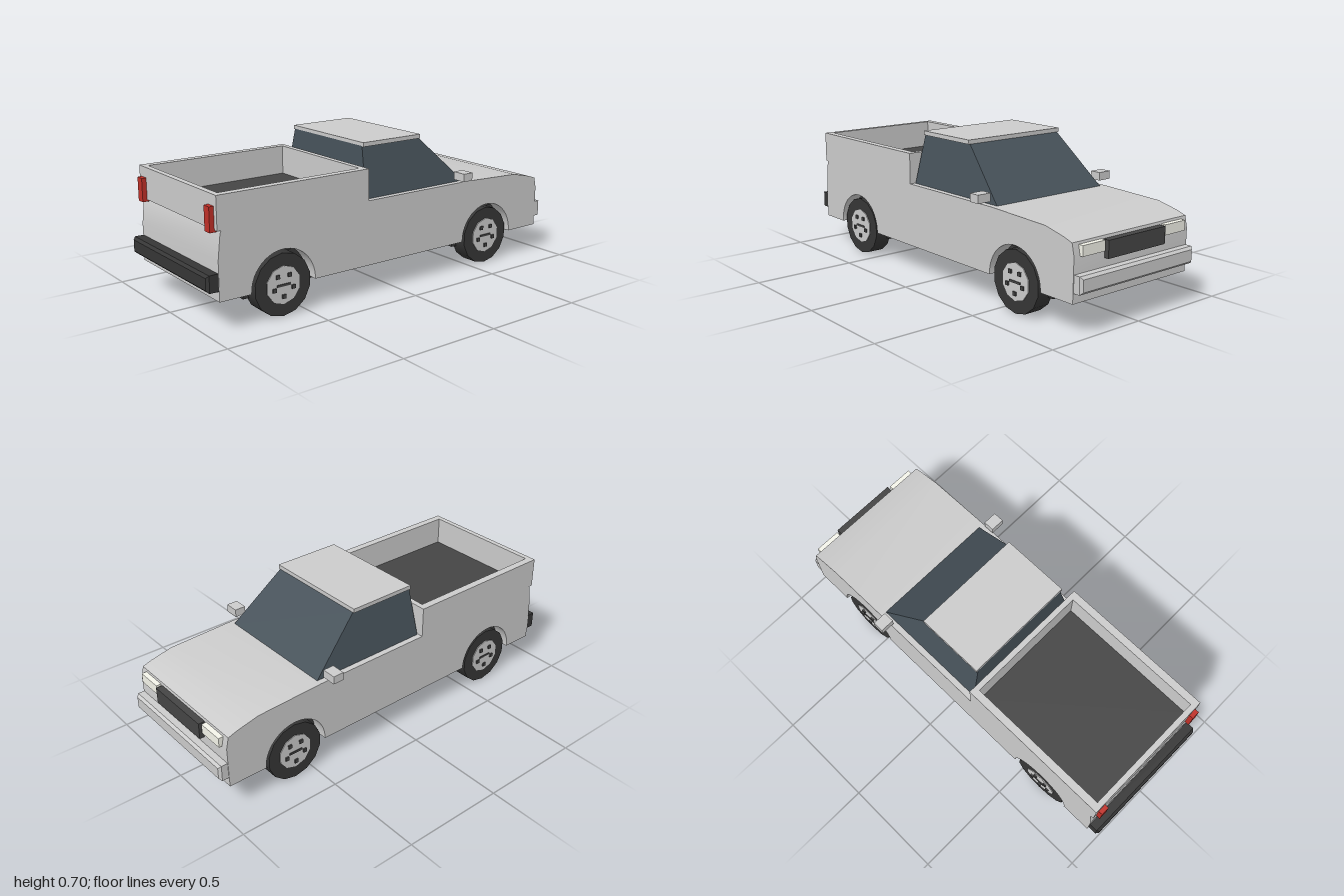
import * as THREE from 'three';
import { toCreasedNormals } from 'three/addons/utils/BufferGeometryUtils.js';

const mat = (color, flatShading = true) => new THREE.MeshStandardMaterial({ color, flatShading });
const paint = mat(0xcccccc);
const bodyPaint = mat(0xcccccc, false);
const glass = mat(0x465159);
const dark = mat(0x454545);
const rubber = mat(0x363636);
const tyreRubber = mat(0x363636, false);
const red = mat(0xc03028);
const lamp = mat(0xf4f4ea);

const AXLES = [-0.625, 0.6];
const WHEEL_R = 0.145;
const ARCH_R = 0.165;

export function createModel() {
  const truck = new THREE.Group();
  truck.name = 'pickupTruck';

  const add = (name, geometry, material, parent = truck) => {
    const mesh = new THREE.Mesh(geometry, material);
    mesh.name = name;
    parent.add(mesh);
    return mesh;
  };

  // Box given by its limits on each axis
  const box = (name, [x0, x1], [y0, y1], [z0, z1], material, parent) => {
    const g = new THREE.BoxGeometry(x1 - x0, y1 - y0, z1 - z0);
    g.translate((x0 + x1) / 2, (y0 + y1) / 2, (z0 + z1) / 2);
    return add(name, g, material, parent);
  };

  // Lower body: side profile with wheel arches, extruded across the width
  const side = new THREE.Shape();
  side.moveTo(-0.945, 0.14);
  for (const x of AXLES) {
    side.lineTo(x - ARCH_R, 0.14);
    side.absarc(x, 0.145, ARCH_R, Math.PI, 0, true);
    side.lineTo(x + ARCH_R, 0.14);
  }
  for (const [x, y] of [
    [0.955, 0.14], [0.957, 0.34], [0.945, 0.395], [0.9, 0.41], [0.79, 0.435],
    [0.45, 0.448], [-0.925, 0.448], [-0.932, 0.435], [-0.945, 0.32],
  ]) side.lineTo(x, y);
  side.closePath();
  const bodyGeometry = new THREE.ExtrudeGeometry(side, { depth: 0.7, bevelEnabled: false, curveSegments: 14 });
  bodyGeometry.translate(0, 0, -0.35);
  add('body', toCreasedNormals(bodyGeometry, 0.5), bodyPaint);

  // Underside, with a dark housing filling each pair of arches
  box('chassis', [-0.86, 0.87], [0.13, 0.16], [-0.3, 0.3], rubber);
  for (const x of AXLES) box('axleHousing', [x - 0.164, x + 0.164], [0.095, 0.275], [-0.275, 0.275], rubber);

  // Glazed cab: a box whose lower and upper rectangles differ
  const cab = new THREE.BoxGeometry(1, 1, 1);
  const p = cab.attributes.position;
  for (let i = 0; i < p.count; i++) {
    const top = p.getY(i) > 0;
    const front = p.getX(i) > 0;
    p.setXYZ(
      i,
      front ? (top ? 0.2 : 0.455) : (top ? -0.138 : -0.155),
      top ? 0.685 : 0.445,
      Math.sign(p.getZ(i)) * (top ? 0.27 : 0.322),
    );
  }
  cab.computeVertexNormals();
  add('cabWindows', cab, glass);
  box('roof', [-0.138, 0.205], [0.682, 0.702], [-0.28, 0.28], paint);

  // Cargo bed: open rectangular wall with a dark floor
  const rim = new THREE.Shape();
  rim.moveTo(-0.945, -0.35).lineTo(-0.16, -0.35).lineTo(-0.16, 0.35).lineTo(-0.945, 0.35).closePath();
  const opening = new THREE.Path();
  opening.moveTo(-0.918, -0.313).lineTo(-0.918, 0.313).lineTo(-0.187, 0.313).lineTo(-0.187, -0.313).closePath();
  rim.holes.push(opening);
  const bed = new THREE.ExtrudeGeometry(rim, { depth: 0.151, bevelEnabled: false });
  bed.rotateX(-Math.PI / 2);
  bed.translate(0, 0.446, 0);
  add('bedWalls', bed, paint);
  box('bedFloor', [-0.925, -0.18], [0.44, 0.457], [-0.32, 0.32], dark);

  // Bumpers: a bar with a chamfered outer lip
  const bumper = (name, sign, material) => {
    const bar = box(name, [-0.03, 0.018], [-0.039, 0.039], [-0.347, 0.347], material);
    const lip = new THREE.BoxGeometry(0.012, 0.078, 0.694);
    const q = lip.attributes.position;
    for (let i = 0; i < q.count; i++) {
      if (q.getX(i) > 0) q.setXYZ(i, q.getX(i), q.getY(i) * 0.7, q.getZ(i) * 0.97);
    }
    lip.translate(0.024, 0, 0);
    lip.computeVertexNormals();
    add(name + 'Lip', lip, material, bar);
    bar.position.set(sign * 0.97, 0.225, 0);
    if (sign < 0) bar.rotation.y = Math.PI;
  };
  bumper('frontBumper', 1, paint);
  bumper('rearBumper', -1, rubber);

  // Grille, lamps and mirrors
  box('grille', [0.93, 0.98], [0.303, 0.382], [-0.175, 0.175], dark);
  for (const s of [-1, 1]) {
    const span = (a, b) => (s > 0 ? [a, b] : [-b, -a]);
    box('headlight', [0.93, 0.972], [0.337, 0.384], span(0.186, 0.316), lamp);
    box('tailLight', [-0.967, -0.935], [0.437, 0.548], span(0.286, 0.328), red);
    box('mirror', [0.375, 0.43], [0.467, 0.506], span(0.34, 0.411), paint);
  }

  // Wheels: built facing +z, turned around for the other side
  const disc = (r, depth, n) => new THREE.CylinderGeometry(r, r, depth, n).rotateX(Math.PI / 2);
  for (const x of AXLES) {
    for (const s of [-1, 1]) {
      const wheel = new THREE.Group();
      wheel.name = 'wheel';
      add('tyre', disc(WHEEL_R, 0.086, 14), tyreRubber, wheel);
      add('hubCap', disc(0.088, 0.094, 10), paint, wheel);
      box('hubBar', [-0.035, 0.035], [-0.005, 0.005], [0.04, 0.051], dark, wheel);
      for (let i = 0; i < 5; i++) {
        const a = -Math.PI / 2 + (i * 2 * Math.PI) / 5;
        const bolt = box('wheelBolt', [-0.009, 0.009], [-0.009, 0.009], [0.04, 0.054], dark, wheel);
        bolt.position.set(0.052 * Math.cos(a), 0.052 * Math.sin(a), 0);
      }
      wheel.position.set(x, WHEEL_R, s * 0.298);
      if (s < 0) wheel.rotation.y = Math.PI;
      truck.add(wheel);
    }
  }

  return truck;
}
